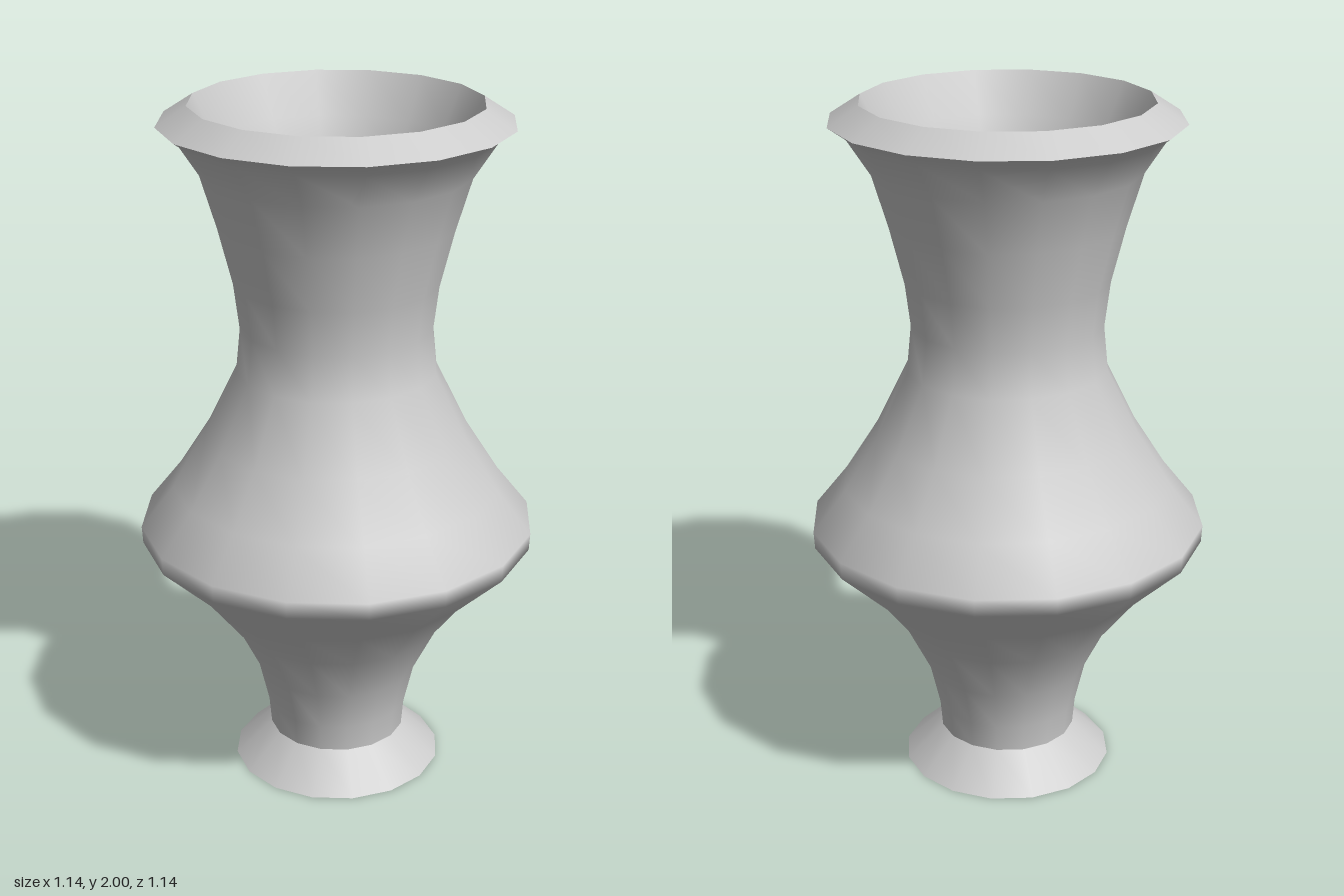
import * as THREE from 'three';

const SIDES = 16;

// Profile points run upward for outer faces, downward for inner faces.
function turned(name, profile) {
  const points = profile.map(([r, y]) => new THREE.Vector2(r, y));
  const mesh = new THREE.Mesh(
    new THREE.LatheGeometry(points, SIDES),
    new THREE.MeshStandardMaterial({ color: 0xcccccc })
  );
  mesh.name = name;
  return mesh;
}

export function createModel() {
  const vase = new THREE.Group();
  vase.name = 'vase';

  // Separate strips keep the edges between them sharp.
  vase.add(
    turned('footUnderside', [[0, 0], [0.308, 0]]),
    turned('foot', [[0.308, 0], [0.2, 0.1]]),
    turned('body', [
      [0.2, 0.1], [0.207, 0.18], [0.235, 0.3], [0.31, 0.45], [0.42, 0.59],
      [0.567, 0.73], [0.57, 0.78], [0.475, 0.9], [0.38, 1.05], [0.287, 1.24],
      [0.274, 1.37], [0.29, 1.5], [0.33, 1.66], [0.375, 1.81], [0.44, 1.91], [0.49, 1.945]
    ]),
    turned('lip', [[0.49, 1.945], [0.405, 2]]),
    // Hollow interior: flared mouth, narrow throat, belly and flat floor
    turned('innerWall', [
      [0.405, 2], [0.345, 1.88], [0.305, 1.78], [0.265, 1.64], [0.225, 1.48],
      [0.21, 1.37], [0.222, 1.24], [0.32, 1.03], [0.42, 0.88], [0.5, 0.77],
      [0.5, 0.74], [0.36, 0.6], [0.26, 0.45], [0.215, 0.3], [0.195, 0.13]
    ]),
    turned('floor', [[0.195, 0.13], [0, 0.13]])
  );
  return vase;
}
